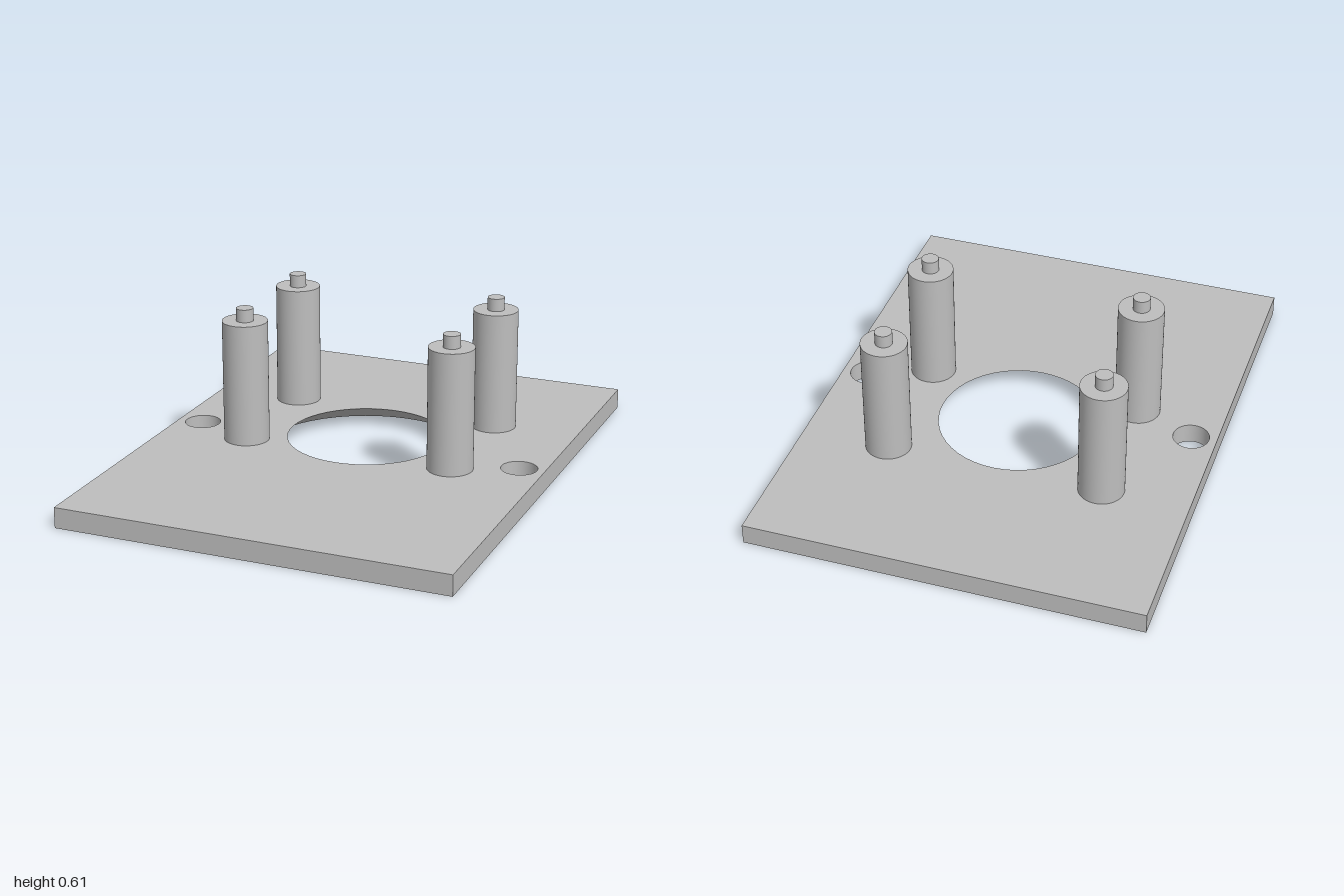
import * as THREE from 'three';
import { mergeGeometries } from 'three/addons/utils/BufferGeometryUtils.js';

const SEG = 48;
const W = 1.52, D = 2, T = 0.08; // plate width, depth, thickness

// x, z, top radius, bottom radius of each hole in the plate
const HOLES = [
  [0, -0.1, 0.308, 0.442],
  [-0.66, 0, 0.07, 0.07],
  [0.66, 0, 0.07, 0.07],
];

// Flat plate face with its holes, facing up or down
function plateFace(isTop) {
  const sign = isTop ? -1 : 1; // shape y maps to z
  const shape = new THREE.Shape([
    new THREE.Vector2(-W / 2, -D / 2), new THREE.Vector2(W / 2, -D / 2),
    new THREE.Vector2(W / 2, D / 2), new THREE.Vector2(-W / 2, D / 2),
  ]);
  for (const [x, z, rTop, rBottom] of HOLES) {
    shape.holes.push(new THREE.Path().absarc(x, sign * z, isTop ? rTop : rBottom, 0, Math.PI * 2, true));
  }
  return new THREE.ShapeGeometry(shape, SEG / 2)
    .rotateX(sign * Math.PI / 2)
    .translate(0, isTop ? T : 0, 0);
}

// The four outer edges: a box without its top and bottom
function plateEdges() {
  const box = new THREE.BoxGeometry(W, T, D).translate(0, T / 2, 0);
  const index = Array.from(box.index.array);
  box.setIndex([...index.slice(0, 12), ...index.slice(24)]);
  box.clearGroups();
  return box;
}

export function createModel() {
  const model = new THREE.Group();
  model.name = 'mountingPlate';
  const grey = new THREE.MeshStandardMaterial({ color: 0xbebebe });
  grey.name = 'grey';

  const add = (name, geometry, parent = model) => {
    const mesh = new THREE.Mesh(geometry, grey);
    mesh.name = name;
    parent.add(mesh);
    return mesh;
  };

  // Plate, with a countersunk centre opening and two bolt holes
  add('plate', mergeGeometries([plateFace(true), plateFace(false), plateEdges()]));
  HOLES.forEach(([x, z, rTop, rBottom], i) => {
    // Profile runs downward so the wall faces the hole's axis
    const wall = new THREE.LatheGeometry(
      [new THREE.Vector2(rTop, T), new THREE.Vector2(rBottom, 0)], SEG);
    add(i === 0 ? 'countersink' : 'boltHoleWall', wall.translate(x, 0, z));
  });

  // Four standoffs, each with a locating pin on top
  for (const x of [-0.42, 0.42]) {
    for (const z of [-0.4, 0.1]) {
      const standoff = new THREE.Group();
      standoff.name = 'standoff';
      standoff.position.set(x, T, z);
      add('post', new THREE.CylinderGeometry(0.088, 0.088, 0.48, SEG), standoff).position.y = 0.24;
      add('pin', new THREE.CylinderGeometry(0.033, 0.033, 0.05, SEG), standoff).position.y = 0.505;
      model.add(standoff);
    }
  }
  return model;
}
